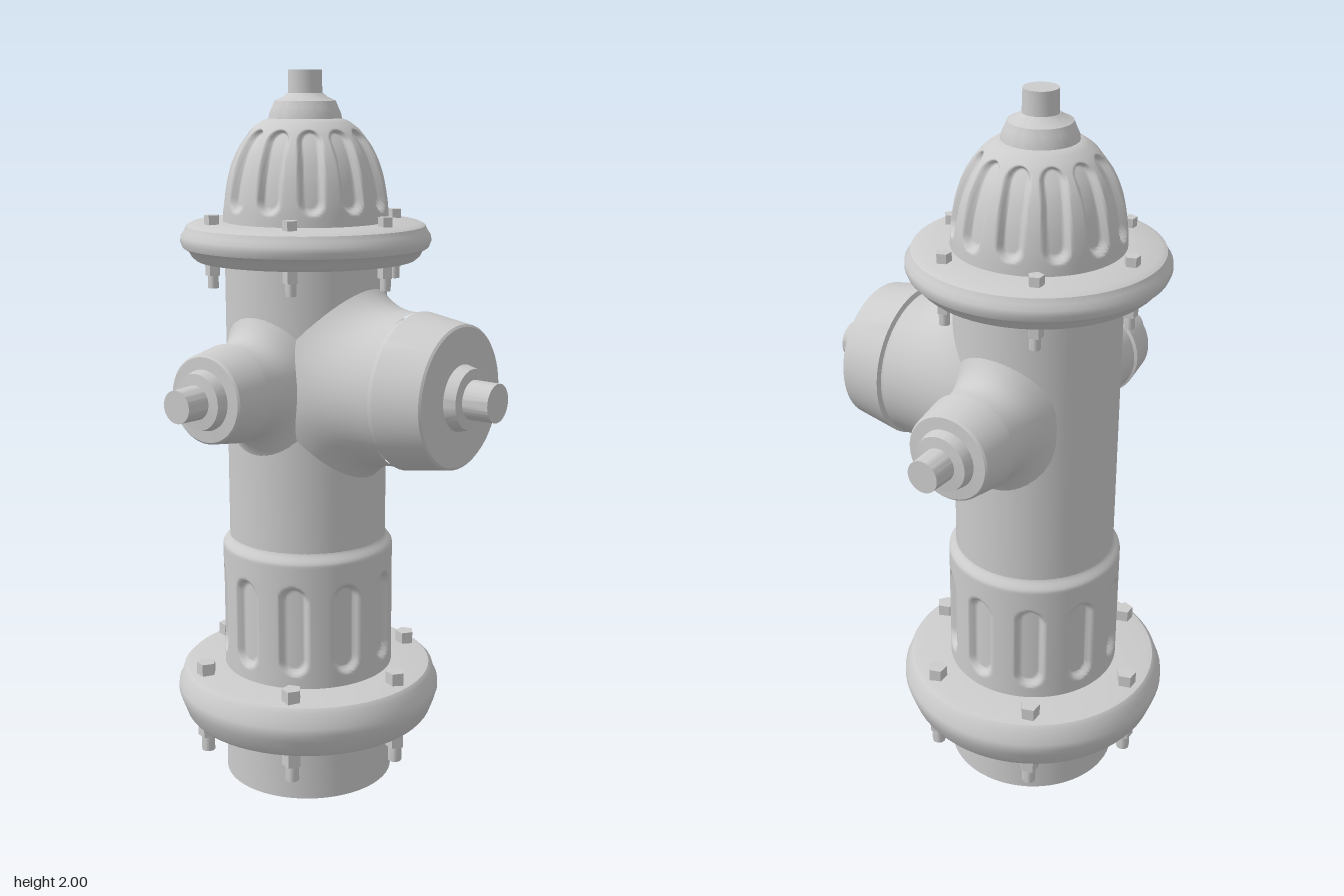
import * as THREE from 'three';
import { toCreasedNormals } from 'three/addons/utils/BufferGeometryUtils.js';

const BODY_R = 0.222;
const OUTLET_Y = 1.175;
const material = new THREE.MeshStandardMaterial({ color: 0xcccccc });
const points = (list) => list.map(([r, y]) => new THREE.Vector2(r, y));

function addMesh(parent, name, geometry) {
  const mesh = new THREE.Mesh(geometry, material);
  mesh.name = name;
  parent.add(mesh);
  return mesh;
}

// Turned part with crisp edges
function turned(profile, segments = 64) {
  return toCreasedNormals(new THREE.LatheGeometry(points(profile), segments), 0.6);
}

// Turned wall with rounded grooves pressed into it
function flutedWall(path, { count, offset, y0, y1, halfWidth, depth }) {
  const geometry = new THREE.LatheGeometry(path, 240);
  const pos = geometry.attributes.position;
  const step = (Math.PI * 2) / count;
  for (let i = 0; i < pos.count; i++) {
    const x = pos.getX(i), y = pos.getY(i), z = pos.getZ(i);
    const r = Math.hypot(x, z);
    const turn = (Math.atan2(x, z) - offset) / step;
    const across = r * (turn - Math.round(turn)) * step;
    const along = Math.max(0, y0 + halfWidth - y, y - y1 + halfWidth);
    const d = Math.hypot(across, along);
    const mask = 1 - THREE.MathUtils.smoothstep(d, halfWidth - 0.007, halfWidth + 0.004);
    const k = (r - depth * mask) / r;
    pos.setXYZ(i, x * k, y, z * k);
  }
  geometry.computeVertexNormals();
  return geometry;
}

// Barrel along +z whose foot flares onto the round body
function flaredBarrel(radius, footX, footY, length) {
  const path = Array.from({ length: 17 }, (_, i) => new THREE.Vector2(1, i / 16));
  const geometry = new THREE.LatheGeometry(path, 64).rotateX(Math.PI / 2);
  const pos = geometry.attributes.position;
  for (let i = 0; i < pos.count; i++) {
    const x = pos.getX(i), y = pos.getY(i), t = pos.getZ(i);
    const flare = (1 - t) ** 3;
    const start = Math.sqrt(Math.max(0, BODY_R ** 2 - (footX * x) ** 2)) - 0.004;
    pos.setXYZ(i,
      x * (radius + (footX - radius) * flare),
      y * (radius + (footY - radius) * flare),
      start + (length - start) * t);
  }
  geometry.computeVertexNormals();
  return geometry;
}

// Outlet = flared barrel + cap with collar and nut
function addOutlet(parent, name, angle, barrel, cap) {
  const outlet = new THREE.Group();
  outlet.name = name;
  outlet.position.y = OUTLET_Y;
  outlet.rotation.y = angle;
  addMesh(outlet, 'outletBarrel', flaredBarrel(...barrel));
  addMesh(outlet, 'outletCap', turned(cap).rotateX(Math.PI / 2));
  parent.add(outlet);
}

// Ring of six bolts: head above the flange, nut and shank below
function addBolts(parent, name, ringR, top, bottom, size) {
  const ring = new THREE.Group();
  ring.name = name;
  for (let i = 0; i < 6; i++) {
    const bolt = new THREE.Group();
    bolt.name = 'bolt';
    const a = (i * Math.PI) / 3;
    bolt.position.set(Math.sin(a) * ringR, 0, Math.cos(a) * ringR);
    const piece = (label, r, y0, y1, sides) => {
      const g = new THREE.CylinderGeometry(r, r, y1 - y0, sides);
      addMesh(bolt, label, toCreasedNormals(g, 0.9)).position.y = (y0 + y1) / 2;
    };
    piece('boltHead', size, top - 0.012, top + size * 1.25, 5);
    piece('boltNut', size, bottom - size * 1.6, bottom + 0.015, 5);
    piece('boltShank', size * 0.68, bottom - size * 3.2, bottom, 10);
    ring.add(bolt);
  }
  parent.add(ring);
}

export function createModel() {
  const model = new THREE.Group();
  model.name = 'hydrant';
  const body = new THREE.Group();
  body.name = 'hydrantBody';
  body.position.z = -0.12;
  model.add(body);

  // Foot and ground flange
  addMesh(body, 'footPipe', turned([[0, 0], [0.242, 0], [0.242, 0.2]]));
  addMesh(body, 'groundFlange', turned([
    [0.22, 0.185], [0.35, 0.185], [0.358, 0.195], [0.373, 0.235], [0.379, 0.255],
    [0.378, 0.275], [0.37, 0.29], [0.363, 0.315], [0.352, 0.326], [0.33, 0.33], [0.22, 0.335],
  ]));
  addBolts(body, 'groundFlangeBolts', 0.312, 0.33, 0.185, 0.028);

  // Fluted lower sleeve with a rounded shoulder
  const sleeve = [];
  for (let i = 0; i <= 56; i++) sleeve.push(new THREE.Vector2(0.242, 0.325 + (0.365 * i) / 56));
  for (let i = 1; i <= 8; i++) {
    const t = i / 8;
    sleeve.push(new THREE.Vector2(0.242 - 0.021 * t * t * (3 - 2 * t), 0.69 + 0.035 * t));
  }
  addMesh(body, 'flutedSleeve', flutedWall(sleeve,
    { count: 10, offset: 0.19, y0: 0.375, y1: 0.625, halfWidth: 0.037, depth: 0.018 }));

  // Upper barrel and its flange
  addMesh(body, 'upperBarrel', turned([[BODY_R, 0.7], [BODY_R, 1.51]]));
  addMesh(body, 'bonnetFlange', turned([
    [0.215, 1.495], [0.3, 1.5], [0.312, 1.51], [0.32, 1.525], [0.336, 1.535], [0.342, 1.55],
    [0.341, 1.565], [0.332, 1.578], [0.326, 1.592], [0.31, 1.6], [0.215, 1.604],
  ]));
  addBolts(body, 'bonnetFlangeBolts', 0.267, 1.6, 1.5, 0.021);

  // Fluted dome, collar and operating nut
  const dome = new THREE.SplineCurve(points([
    [0.226, 1.595], [0.222, 1.66], [0.209, 1.73], [0.186, 1.79], [0.152, 1.838], [0.118, 1.866], [0.092, 1.876],
  ])).getPoints(72);
  addMesh(body, 'dome', flutedWall(dome,
    { count: 12, offset: 0.22, y0: 1.638, y1: 1.845, halfWidth: 0.03, depth: 0.02 }));
  addMesh(body, 'domeCollar', turned([
    [0.1, 1.86], [0.097, 1.885], [0.088, 1.905], [0.082, 1.92], [0.06, 1.93], [0.048, 1.94],
  ]));
  addMesh(body, 'operatingNut', turned([[0.047, 1.92], [0.045, 2], [0, 2]], 24));

  // Large front outlet and two smaller side outlets
  addOutlet(body, 'frontOutlet', 0, [0.207, 0.224, 0.262, 0.36], [
    [0.195, 0.345], [0.2, 0.37], [0.212, 0.375], [0.191, 0.505], [0.185, 0.51], [0.088, 0.512],
    [0.08, 0.544], [0.052, 0.546], [0.051, 0.62], [0, 0.62],
  ]);
  for (const side of [-1, 1]) {
    addOutlet(body, side > 0 ? 'leftOutlet' : 'rightOutlet', (side * Math.PI) / 2,
      [0.126, 0.185, 0.195, 0.315], [
        [0.115, 0.3], [0.122, 0.318], [0.132, 0.322], [0.117, 0.416], [0.112, 0.421], [0.08, 0.423],
        [0.074, 0.453], [0.045, 0.456], [0.043, 0.526], [0, 0.526],
      ]);
  }
  return model;
}
